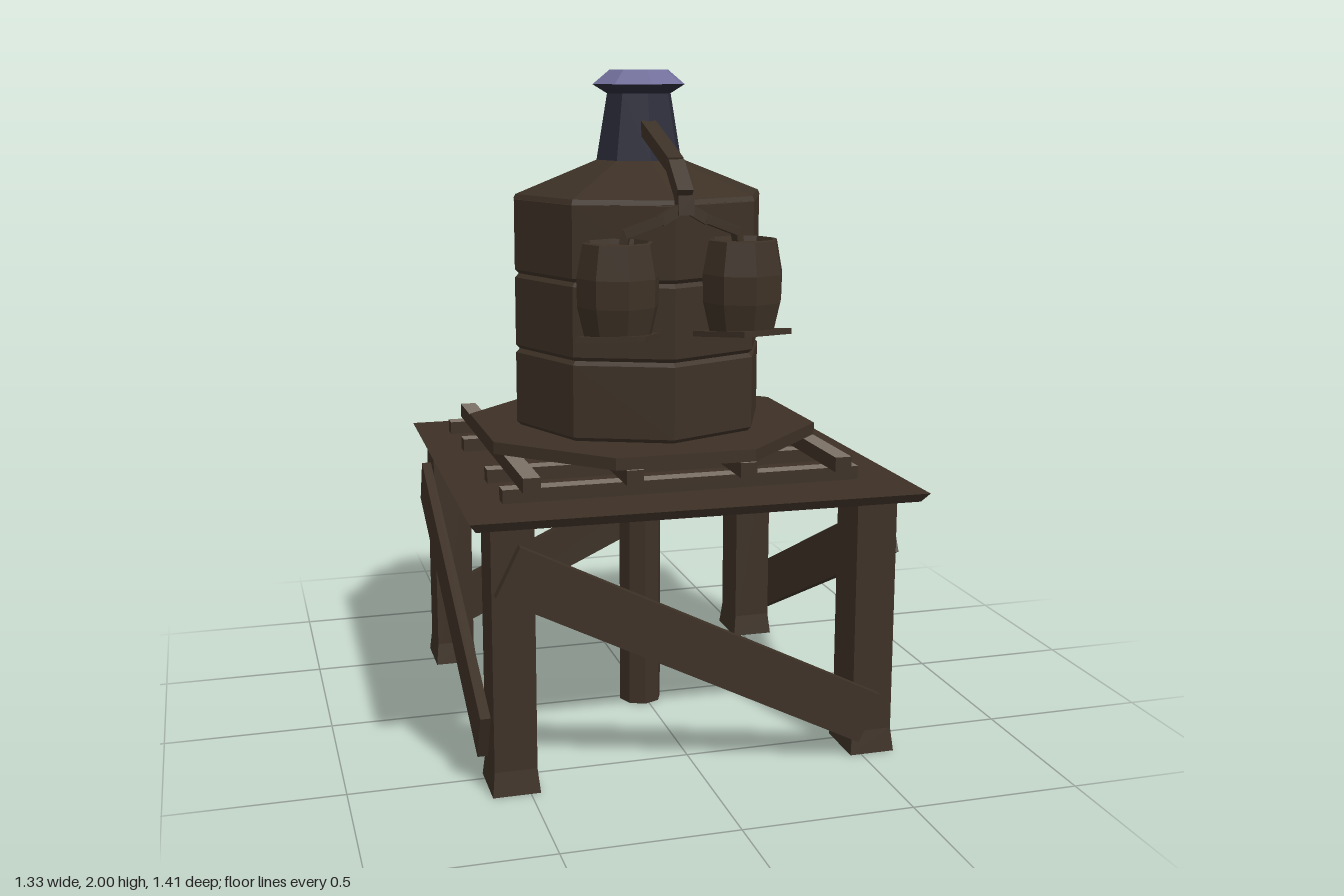
import * as THREE from 'three';

const mat = (name, color) => {
  const m = new THREE.MeshStandardMaterial({ color, side: THREE.DoubleSide });
  m.name = name;
  return m;
};
// axis shared by the tank, deck and centre post
const CX = -0.013, CZ = 0.012;

export function createModel() {
  const root = new THREE.Group();
  const wood = mat('dark wood', 0x3d3126);
  const iron = mat('dark iron', 0x2b2c3a);
  const rimBlue = mat('pale steel', 0x716f9a);
  const worn = mat('worn timber', 0x7b7166);

  const flat = (g) => {
    const f = g.index ? g.toNonIndexed() : g;
    f.computeVertexNormals();
    return f;
  };
  const add = (name, geo, material, x = 0, y = 0, z = 0) => {
    const m = new THREE.Mesh(geo, material);
    m.name = name;
    m.position.set(x, y, z);
    root.add(m);
    return m;
  };
  const lathe = (pts, seg = 8, start = 0, len = Math.PI * 2) =>
    flat(new THREE.LatheGeometry(pts.map(([r, y]) => new THREE.Vector2(r, y)), seg, start, len));
  // rectangular bar between two points
  const beam = (name, a, b, w, h, material = wood) => {
    const A = new THREE.Vector3(...a), B = new THREE.Vector3(...b);
    const m = add(name, new THREE.BoxGeometry(w, h, A.distanceTo(B)), material);
    m.position.copy(A).add(B).multiplyScalar(0.5);
    m.lookAt(B);
    return m;
  };

  // legs with flared feet
  for (const x of [-0.54, 0.535]) {
    for (const z of [0.55, -0.52]) {
      add('leg', new THREE.BoxGeometry(0.122, 0.78, 0.15), wood, x, 0.39, z);
      const foot = new THREE.BoxGeometry(0.122, 0.07, 0.15);
      const p = foot.attributes.position;
      for (let i = 0; i < p.count; i++) {
        if (p.getY(i) < 0) p.setXYZ(i, p.getX(i) * 1.12, p.getY(i), p.getZ(i) * 1.14);
      }
      add('foot', flat(foot), wood, x, 0.035, z);
    }
  }
  add('centrePost', flat(new THREE.CylinderGeometry(0.067, 0.067, 0.92, 8)), wood, CX, 0.46, 0.022);

  // one diagonal plank on each side
  beam('frontBrace', [-0.56, 0.66, 0.645], [0.515, 0.12, 0.645], 0.03, 0.155);
  beam('backBrace', [0.54, 0.64, -0.613], [-0.54, 0.14, -0.613], 0.03, 0.15);
  beam('leftBrace', [0.612, 0.67, 0.545], [0.612, 0.12, -0.595], 0.03, 0.155);
  beam('rightBrace', [-0.618, 0.63, -0.53], [-0.618, 0.15, 0.56], 0.03, 0.15);

  // slightly crooked table top, narrower underneath
  const outline = [[-0.64, 0.65], [-0.665, -0.675], [0.665, -0.7], [0.66, 0.655]];
  const top = new THREE.ExtrudeGeometry(
    new THREE.Shape(outline.map(([x, y]) => new THREE.Vector2(x, y))),
    { depth: 0.028, bevelEnabled: false });
  top.rotateX(-Math.PI / 2);
  const tp = top.attributes.position;
  for (let i = 0; i < tp.count; i++) {
    if (tp.getY(i) < 0.01) tp.setXYZ(i, tp.getX(i) * 0.97, tp.getY(i), tp.getZ(i) * 0.97);
  }
  add('tableTop', flat(top), wood, 0, 0.778, 0);

  // two crossing layers of joists with worn upper faces
  const joistMats = [wood, wood, worn, wood, wood, wood];
  for (const z of [-0.467, -0.2, 0.22, 0.462]) {
    add('crossJoist', new THREE.BoxGeometry(1.07, 0.041, 0.05), joistMats, -0.005, 0.8255, z);
  }
  for (const x of [-0.467, -0.167, 0.172, 0.46]) {
    const edge = Math.abs(x) > 0.3;
    add('longJoist', new THREE.BoxGeometry(0.05, 0.044, edge ? 1.07 : 1.05), joistMats, x, 0.868, 0.008);
  }

  // octagonal deck
  add('deck', flat(new THREE.CylinderGeometry(0.545, 0.545, 0.036, 8).rotateY(Math.PI / 8)),
    wood, CX, 0.908, 0.02);

  // tank: three bevelled bands, the middle one open at the back
  const band = (y0, y1) => [[0.355, y0], [0.378, y0], [0.39, y0 + 0.012],
    [0.39, y1 - 0.012], [0.378, y1], [0.355, y1], [0.355, y0]];
  add('lowerBand', lathe(band(0.926, 1.165)), wood, CX, 0, CZ);
  add('middleBand', lathe(band(1.165, 1.395), 6, -Math.PI * 0.75, Math.PI * 1.5), wood, CX, 0, CZ);
  add('upperBand', lathe(band(1.395, 1.63)), wood, CX, 0, CZ);
  add('tankFloor', flat(new THREE.CylinderGeometry(0.36, 0.36, 0.02, 8)), wood, CX, 1.15, CZ);
  add('roof', lathe([[0.36, 1.615], [0.392, 1.62], [0.385, 1.634], [0.12, 1.738]]), wood, CX, 0, CZ);

  // chimney and its cap
  add('chimney', lathe([[0.134, 1.73], [0.1, 1.93], [0.145, 1.957]]), iron, CX, 0, CZ);
  add('capSlope', lathe([[0.145, 1.957], [0.092, 2.0], [0.08, 2.0]]), rimBlue, CX, 0, CZ);
  add('capBore', lathe([[0.08, 2.0], [0.062, 1.985], [0.058, 1.9]]), iron, CX, 0, CZ);
  add('capPlug', flat(new THREE.CylinderGeometry(0.06, 0.06, 0.01, 8)), rimBlue, CX, 1.94, CZ);

  // arm reaching from the chimney to the casks
  const arm = [[1.835, 0.1], [1.735, 0.395], [1.655, 0.485], [1.6, 0.488]];
  for (let i = 0; i < 3; i++) {
    beam('arm', [CX, ...arm[i]], [CX, ...arm[i + 1]], 0.046, 0.042);
  }
  // hanging casks with tilted square trays
  for (const s of [-1, 1]) {
    const x = CX + s * 0.184;
    beam('branch', [CX, 1.625, 0.485], [CX + s * 0.07, 1.585, 0.485], 0.03, 0.03);
    beam('branch', [CX + s * 0.06, 1.59, 0.487], [CX + s * 0.165, 1.55, 0.465], 0.03, 0.026);
    beam('hook', [CX + s * 0.16, 1.56, 0.464], [CX + s * 0.168, 1.52, 0.46], 0.024, 0.024);
    add('cask', lathe([[0, 1.265], [0.098, 1.265], [0.118, 1.35], [0.12, 1.43],
      [0.102, 1.525], [0.092, 1.528], [0.088, 1.512], [0, 1.512]]), wood, x, 0, 0.457);
    const tray = add('tray', new THREE.BoxGeometry(0.2, 0.016, 0.2).rotateY(s * 0.5), wood, x, 1.258, 0.46);
    tray.rotation.x = -0.11;
  }

  // gun poking out of the rear opening
  const gun = lathe([[0, 0.1], [0.055, 0.1], [0.052, 0.36], [0.046, 0.42], [0.06, 0.5], [0.06, 0.56],
    [0.036, 0.625], [0.046, 0.64], [0.044, 0.672], [0.026, 0.672], [0.024, 0.58], [0, 0.58]]);
  add('gun', gun.rotateX(-Math.PI / 2), iron, CX, 1.248, 0);
  const lever = [[1.205, -0.435], [1.17, -0.45], [1.127, -0.485], [1.124, -0.635], [1.152, -0.675], [1.18, -0.703]];
  for (let i = 0; i < lever.length - 1; i++) {
    beam('lever', [CX, ...lever[i]], [CX, ...lever[i + 1]], 0.022, 0.014, iron);
  }
  return root;
}
